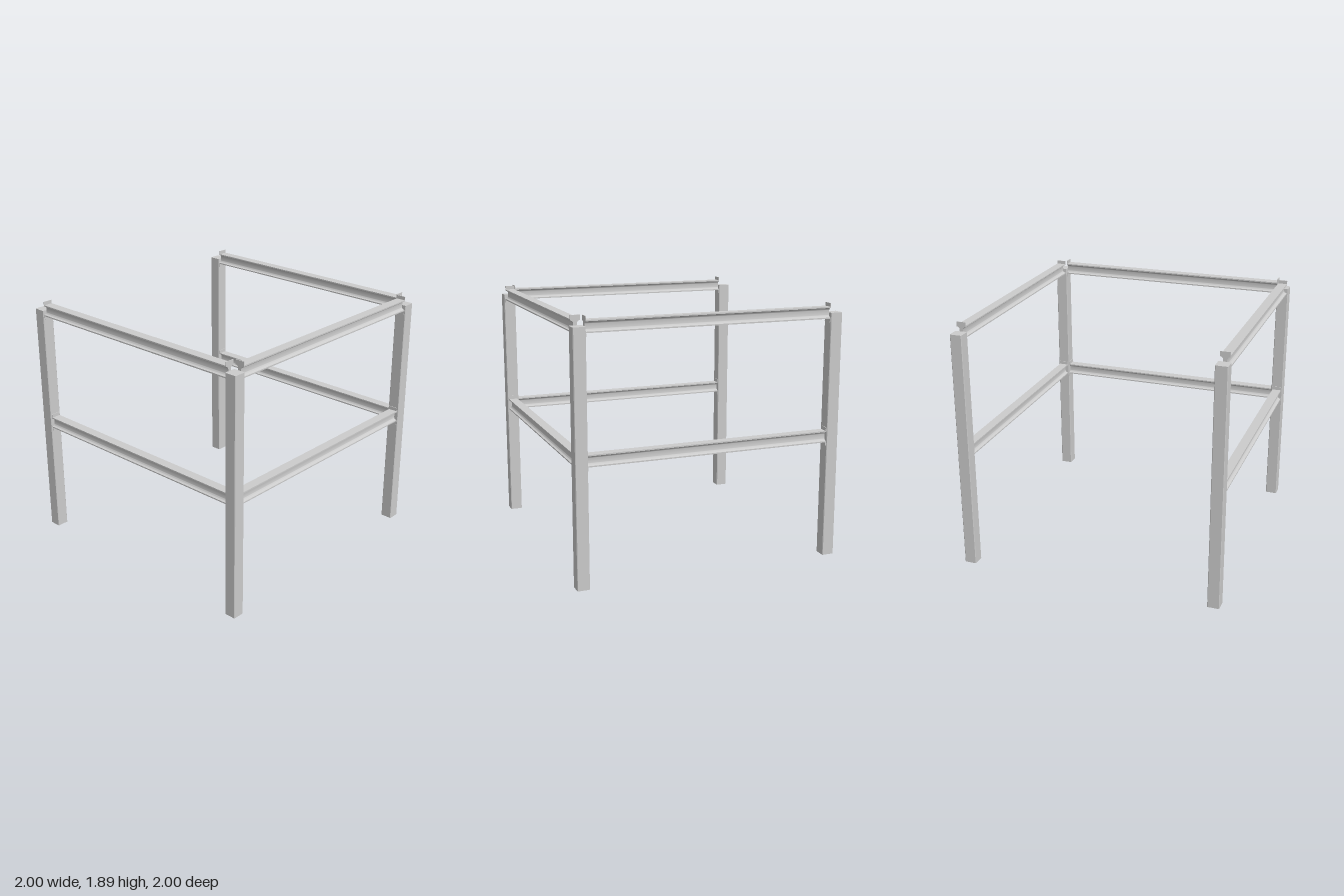
import * as THREE from 'three';
import { toCreasedNormals } from 'three/addons/utils/BufferGeometryUtils.js';

const POST_H = 1.82, POST_W = 0.09, C = 0.955, INNER = 0.91;
const material = new THREE.MeshStandardMaterial({ color: 0xcccccc });

// I-section with curved fillets; top is the half height of the outline
function iSection(top) {
  const w = 0.035, web = 0.013, lip = 0.034, fillet = 0.012;
  const s = new THREE.Shape();
  s.moveTo(-w, -top);
  s.lineTo(w, -top);
  s.lineTo(w, -lip);
  s.quadraticCurveTo(web, -0.03, web, -fillet);
  s.lineTo(web, fillet);
  s.quadraticCurveTo(web, 0.03, w, lip);
  s.lineTo(w, top);
  s.lineTo(-w, top);
  s.lineTo(-w, lip);
  s.quadraticCurveTo(-web, 0.03, -web, fillet);
  s.lineTo(-web, -fillet);
  s.quadraticCurveTo(-web, -0.03, -w, -lip);
  s.closePath();
  return s;
}

// Section extruded along z and centred on the origin
function extruded(shape, length) {
  const g = new THREE.ExtrudeGeometry(shape, { depth: length, bevelEnabled: false, curveSegments: 8 });
  g.translate(0, 0, -length / 2);
  return toCreasedNormals(g, 0.6);
}

// Square post with slightly chamfered long edges
function postGeometry() {
  const h = POST_W / 2, c = 0.004;
  const s = new THREE.Shape([
    [h - c, -h], [h, -h + c], [h, h - c], [h - c, h],
    [-h + c, h], [-h, h - c], [-h, -h + c], [-h + c, -h],
  ].map(([x, y]) => new THREE.Vector2(x, y)));
  const g = new THREE.ExtrudeGeometry(s, { depth: POST_H, bevelEnabled: false });
  g.rotateX(-Math.PI / 2);
  return g;
}

export function createModel() {
  const model = new THREE.Group();
  model.name = 'postAndBeamFrame';
  const add = (parent, name, geometry, x, y, z) => {
    const mesh = new THREE.Mesh(geometry, material);
    mesh.name = name;
    mesh.position.set(x, y, z);
    parent.add(mesh);
  };

  // Four corner posts
  const post = postGeometry();
  for (const x of [-1, 1]) for (const z of [-1, 1]) {
    add(model, `${z > 0 ? 'front' : 'back'}${x > 0 ? 'Left' : 'Right'}Post`, post, x * C, 0, z * C);
  }

  // Upper and lower beams on three sides, with a connection plate at each end
  const beamBar = extruded(iSection(0.043), 2 * INNER);
  const plate = extruded(iSection(0.069), 0.005);
  const sides = [['right', -C, 0, 0], ['left', C, 0, 0], ['front', 0, C, Math.PI / 2]];
  for (const [level, y] of [['Lower', 0.912], ['Upper', 1.82]]) {
    for (const [side, x, z, turn] of sides) {
      const beam = new THREE.Group();
      beam.name = `${side}${level}Beam`;
      beam.position.set(x, y, z);
      beam.rotation.y = turn;
      add(beam, 'beamBar', beamBar, 0, 0, 0);
      for (const end of [-1, 1]) add(beam, 'endPlate', plate, 0, 0, end * (INNER - 0.0025));
      model.add(beam);
    }
  }
  return model;
}
